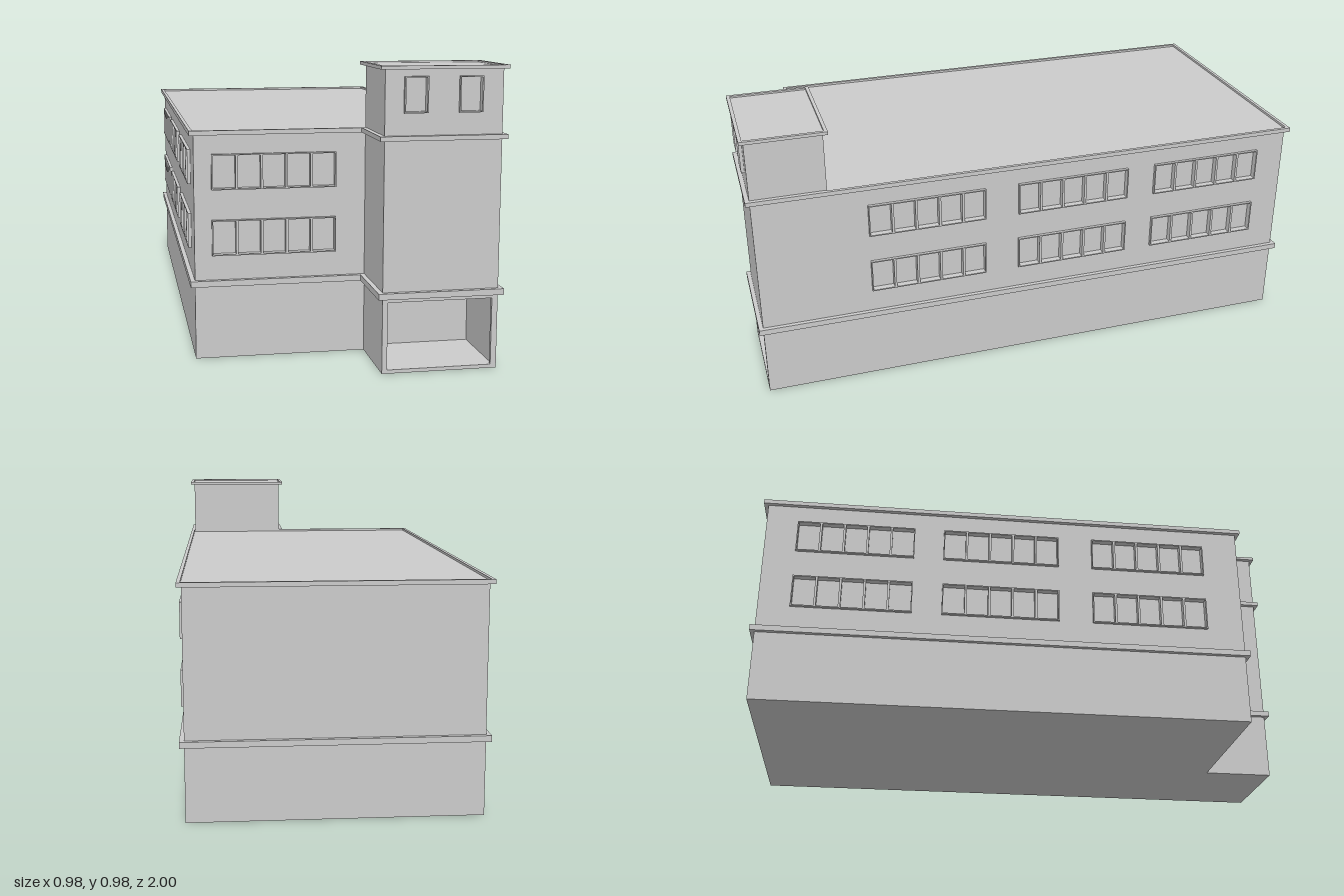
import * as THREE from 'three';

const mat = new THREE.MeshStandardMaterial({ color: 0xcccccc, flatShading: true });
const SKIN = 0.012; // facade thickness
const PROUD = 0.011; // how far window frames stand out
const X0 = -0.475, X1 = 0.472, TX = 0.093; // side walls, tower's inner wall
const ZB = -0.985, ZM = 0.73, ZT = 0.985; // back, main front, tower front
const ROOF = 0.752, TOP = 0.965;

function add(parent, name, geo) {
  const m = new THREE.Mesh(geo, mat);
  m.name = name;
  parent.add(m);
  return m;
}

// box from min / max corners
function block(parent, name, x0, x1, y0, y1, z0, z1) {
  add(parent, name, new THREE.BoxGeometry(x1 - x0, y1 - y0, z1 - z0))
    .position.set((x0 + x1) / 2, (y0 + y1) / 2, (z0 + z1) / 2);
}

function rectPath(Type, [a, b, c, d]) { // [u0, u1, v0, v1]
  const p = new Type();
  p.moveTo(a, c).lineTo(b, c).lineTo(b, d).lineTo(a, d).closePath();
  return p;
}

// flat plate with rectangular holes, extruded along +z
function plate(outer, holes, depth) {
  const s = rectPath(THREE.Shape, outer);
  holes.forEach(h => s.holes.push(rectPath(THREE.Path, h)));
  return new THREE.ExtrudeGeometry(s, { depth, bevelEnabled: false });
}

// frame filling its wall opening, with n recessed panes
function windowFrame(parent, [a, b, c, d], n) {
  const edge = 0.004, bar = 0.008;
  const w = (b - a - 2 * edge - (n - 1) * bar) / n;
  const panes = [];
  for (let i = 0; i < n; i++) {
    const u = a + edge + i * (w + bar);
    panes.push([u, u + w, c + edge, d - edge]);
  }
  add(parent, 'windowFrame', plate([a, b, c, d], panes, SKIN + PROUD));
}

// outer wall skin with windows; rotY turns its outside away from +z
function facade(parent, name, outer, windows, panes, openings, rotY, x, z) {
  const g = new THREE.Group();
  g.name = name;
  add(g, name + 'Wall', plate(outer, [...windows, ...openings], SKIN));
  windows.forEach(w => windowFrame(g, w, panes));
  g.rotation.y = rotY;
  g.position.set(x, 0, z);
  parent.add(g);
}

// flat roof slab with a raised rim
function rimmedRoof(parent, name, x0, x1, z0, z1, y0, yDeck, y1) {
  block(parent, name + 'Slab', x0, x1, y0, yDeck, z0, z1);
  const i = 0.012;
  const rim = plate([x0, x1, -z1, -z0], [[x0 + i, x1 - i, i - z1, -z0 - i]], y1 - yDeck);
  const m = add(parent, name + 'Rim', rim);
  m.rotation.x = -Math.PI / 2;
  m.position.y = yDeck;
}

export function createModel() {
  const root = new THREE.Group();
  root.name = 'building';

  // solid cores behind the facades
  block(root, 'mainBlock', X0 + SKIN, X1 - SKIN, 0, 0.75, ZB, ZM - SKIN);
  block(root, 'towerBlock', TX, X1 - SKIN, 0.23, 0.75, ZM - SKIN, ZT - SKIN);
  block(root, 'towerTop', TX, X1, 0.75, TOP, ZM, ZT - SKIN);

  // hollow entrance at the tower's foot
  block(root, 'entranceFloor', TX, X1 - SKIN, 0, 0.012, ZM - SKIN, ZT - SKIN);
  block(root, 'entranceSideWall', TX, 0.11, 0.012, 0.23, ZM - SKIN, ZT - SKIN);

  // facades with two rows of windows
  const rows = [[0.347, 0.465], [0.565, 0.682]];
  const sideWindows = [];
  for (const z of [0.39, -0.1475, -0.6675])
    for (const r of rows) sideWindows.push([z - 0.208, z + 0.208, ...r]);
  const flip = ([a, b, c, d]) => [-b, -a, c, d];
  facade(root, 'leftFacade', [1 - ZT - 1, -ZB, 0, 0.75].map((v, i) => (i === 0 ? SKIN - ZT : v)),
    sideWindows.map(flip), 5, [], Math.PI / 2, X1 - SKIN, 0);
  facade(root, 'rightFacade', [ZB, ZM - SKIN, 0, 0.75],
    sideWindows, 5, [], -Math.PI / 2, X0 + SKIN, 0);
  facade(root, 'frontFacade', [X0, TX, 0, 0.75],
    rows.map(r => [-0.418, -0.006, ...r]), 5, [], 0, 0, ZM - SKIN);
  facade(root, 'towerFacade', [TX, X1, 0, TOP],
    [[0.153, 0.229, 0.83, 0.943], [0.329, 0.405, 0.83, 0.943]], 1,
    [[0.11, 0.453, 0.012, 0.232]], 0, 0, ZT - SKIN);

  // ledges around the first floor
  block(root, 'mainLedge', -0.49, 0.487, 0.245, 0.265, -1, 0.745);
  block(root, 'towerLedge', 0.077, 0.487, 0.245, 0.265, 0.745, 1);

  // roofs and the tower's ledge at roof height
  rimmedRoof(root, 'mainRoof', -0.49, 0.487, -1, 0.745, 0.745, ROOF, 0.76);
  block(root, 'towerUpperLedge', 0.077, 0.487, 0.745, 0.76, 0.745, 1);
  rimmedRoof(root, 'towerRoof', 0.077, 0.487, 0.715, 1, 0.965, 0.97, 0.976);

  return root;
}
